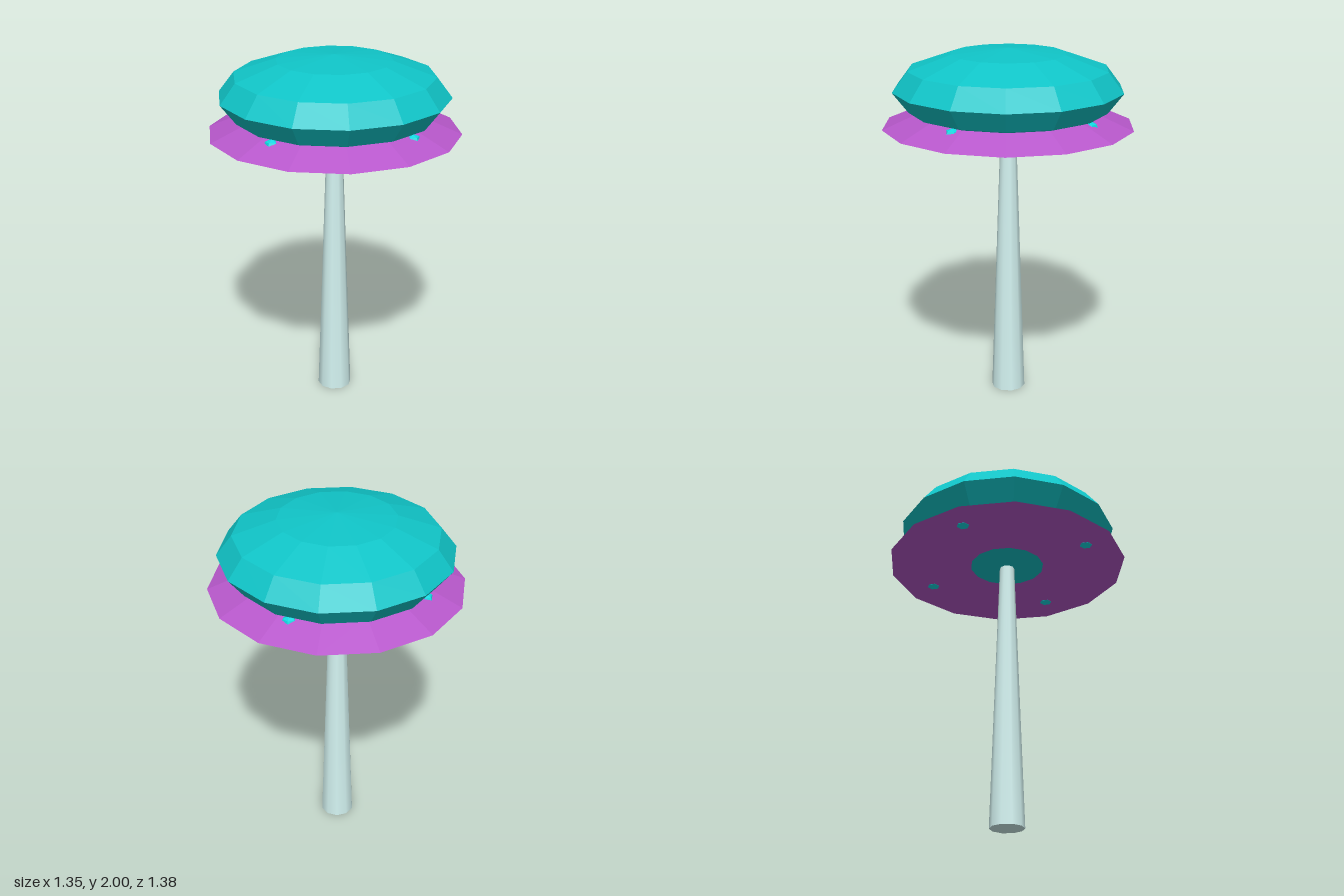
import * as THREE from 'three';

const SIDES = 14;

function part(name, geometry, color, flatShading = true) {
  const mesh = new THREE.Mesh(geometry, new THREE.MeshStandardMaterial({ color, flatShading }));
  mesh.name = name;
  return mesh;
}

export function createModel() {
  const model = new THREE.Group();
  model.name = 'mushroom';

  // Tapering stem, smooth, reaching up into the cap
  const stem = part('stem', new THREE.CylinderGeometry(0.04, 0.096, 1.64, 10), 0xd4f4f2, false);
  stem.position.y = 0.82;
  stem.rotation.y = Math.PI / 2;
  model.add(stem);

  // Flattened faceted cap, with corners on the z axis
  const capShape = new THREE.SphereGeometry(0.63, SIDES, 6);
  capShape.rotateY(Math.PI / 2);
  capShape.scale(1, 0.22 / 0.63, 1);
  const cap = part('cap', capShape, 0x10c5c8);
  cap.position.y = 1.78;
  model.add(cap);

  // Sloping brim with a flat underside
  const brim = part('brim', new THREE.CylinderGeometry(0.49, 0.69, 0.085, SIDES), 0xb858cc);
  brim.position.y = 1.6225;
  model.add(brim);

  // Four small beads set into the brim
  const beads = new THREE.Group();
  beads.name = 'beads';
  const beadShape = new THREE.SphereGeometry(0.05, 6, 4);
  for (const x of [-0.36, 0.36]) {
    for (const z of [-0.36, 0.36]) {
      const bead = part('bead', beadShape, 0x10d8e0);
      bead.position.set(x, 1.614, z);
      beads.add(bead);
    }
  }
  model.add(beads);

  return model;
}
